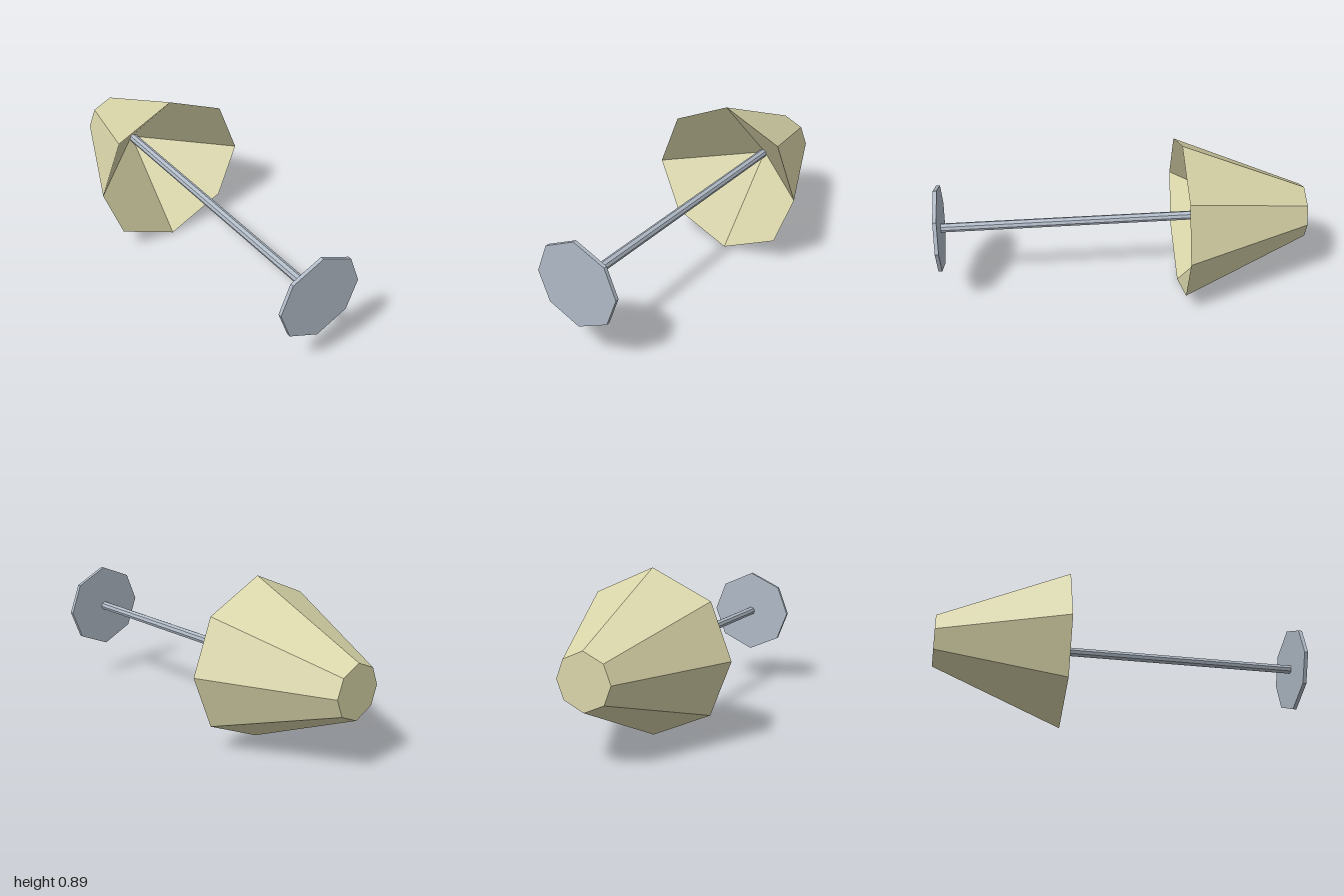
import * as THREE from 'three';

const CENTER_Y = 0.448;
const RIM_Z = -0.32, BACK_Z = -1, APEX_Z = -0.76;

const shadeCream = new THREE.MeshStandardMaterial({ name: 'shadeCream', color: 0xdad6aa });
const standGrey = new THREE.MeshStandardMaterial({ name: 'standGrey', color: 0xb0bac6 });

// Slightly irregular octagon, corners in anticlockwise order seen from +z
function octagon(r) {
  const a = r * 0.74, b = r * 0.665;
  return [[r, 0], [a, b], [0, r], [-a, b], [-r, 0], [-a, -b], [0, -r], [a, -b]];
}

// Octagonal bar running along z
function bar(name, r, z0, z1) {
  const shape = new THREE.Shape(octagon(r).map(([x, y]) => new THREE.Vector2(x, y)));
  const geo = new THREE.ExtrudeGeometry(shape, { depth: z1 - z0, bevelEnabled: false });
  geo.translate(0, CENTER_Y, z0);
  const mesh = new THREE.Mesh(geo, standGrey);
  mesh.name = name;
  return mesh;
}

// Fan-triangulated polygons, each with one averaged normal
function facets(name, polygons) {
  const pos = [], nor = [];
  for (const poly of polygons) {
    const normal = new THREE.Vector3();
    const tris = [];
    for (let i = 1; i < poly.length - 1; i++) {
      const tri = [poly[0], poly[i], poly[i + 1]];
      const e1 = tri[1].clone().sub(tri[0]), e2 = tri[2].clone().sub(tri[0]);
      normal.add(e1.cross(e2));
      tris.push(...tri);
    }
    normal.normalize();
    for (const p of tris) {
      pos.push(p.x, p.y, p.z);
      nor.push(normal.x, normal.y, normal.z);
    }
  }
  const geo = new THREE.BufferGeometry();
  geo.setAttribute('position', new THREE.Float32BufferAttribute(pos, 3));
  geo.setAttribute('normal', new THREE.Float32BufferAttribute(nor, 3));
  const mesh = new THREE.Mesh(geo, shadeCream);
  mesh.name = name;
  return mesh;
}

function lampshade() {
  const ring = (r, z) => octagon(r).map(([x, y]) => new THREE.Vector3(x, y + CENTER_Y, z));
  const rim = ring(0.446, RIM_Z), back = ring(0.149, BACK_Z);
  const apex = new THREE.Vector3(0, CENTER_Y, APEX_Z);
  const outer = [], inner = [];
  for (let i = 0; i < 8; i++) {
    const j = (i + 1) % 8;
    outer.push([rim[i], back[i], back[j], rim[j]]);
  }
  // Hollow inside: four facets meeting on the pole
  for (let i = 0; i < 8; i += 2) inner.push([apex, rim[i], rim[i + 1], rim[(i + 2) % 8]]);
  const group = new THREE.Group();
  group.name = 'lampshade';
  group.add(
    facets('shadeOuter', outer),
    facets('shadeInner', inner),
    facets('shadeCap', [[...back].reverse()])
  );
  return group;
}

export function createModel() {
  const model = new THREE.Group();
  model.name = 'lamp';
  model.add(
    bar('base', 0.24, 0.98, 1),
    bar('pole', 0.025, APEX_Z, 0.98),
    lampshade()
  );
  return model;
}
